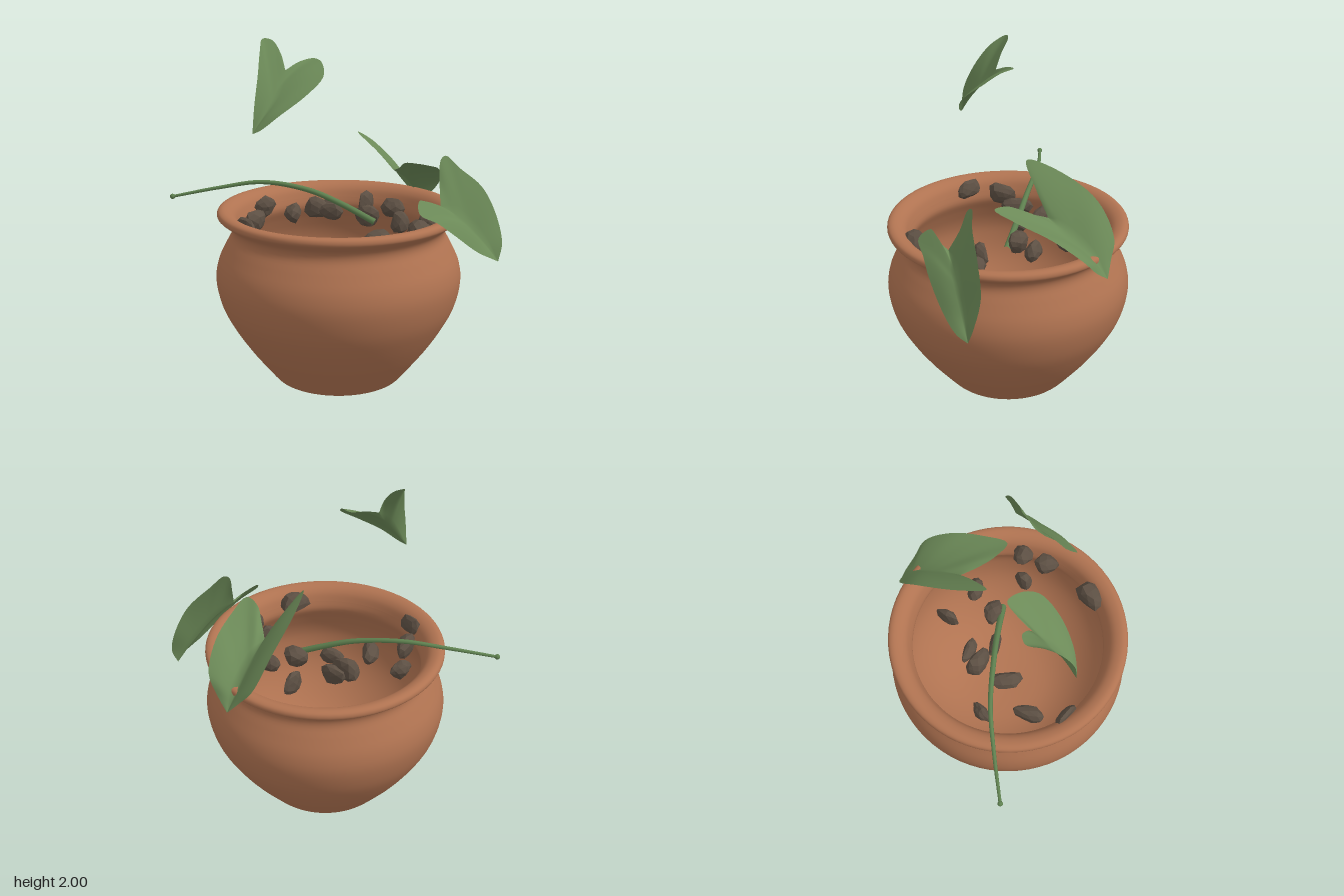
import * as THREE from 'three';

const V = (p) => new THREE.Vector3(...p);
const material = (name, color, side = THREE.FrontSide) => {
  const m = new THREE.MeshStandardMaterial({ color, side });
  m.name = name;
  return m;
};

function addMesh(parent, name, geometry, mat) {
  const mesh = new THREE.Mesh(geometry, mat);
  mesh.name = name;
  parent.add(mesh);
  return mesh;
}

// Leaf: two halves lofted from the midrib to each lobed edge.
function leafGeometry(mid, edges) {
  const rows = 40, cols = 6;
  const midCurve = new THREE.CatmullRomCurve3(mid.map(V));
  const pos = [], index = [];
  const sides = [edges[0], null, edges[1]].map((e) => e &&
    new THREE.CatmullRomCurve3([mid[0], ...e, mid[mid.length - 1]].map(V)));
  const width = cols * 2 + 1;
  for (let i = 0; i <= rows; i++) {
    const t = i / rows;
    const m = midCurve.getPoint(t);
    for (let j = -cols; j <= cols; j++) {
      const k = Math.abs(j) / cols;
      const p = j === 0 ? m.clone() : m.clone().lerp(sides[j < 0 ? 0 : 2].getPoint(t), k);
      p.y += 0.02 * Math.sin(Math.PI * k) * Math.sin(Math.PI * t);
      pos.push(p.x, p.y, p.z);
      if (i < rows && j < cols) {
        const a = i * width + j + cols, b = a + width;
        index.push(a, b, a + 1, a + 1, b, b + 1);
      }
    }
  }
  const g = new THREE.BufferGeometry();
  g.setAttribute('position', new THREE.Float32BufferAttribute(pos, 3));
  g.setIndex(index);
  g.computeVertexNormals();
  return g;
}

// Tube whose rings shrink towards the far end.
function taperedTube(points, r0, r1) {
  const curve = new THREE.CatmullRomCurve3(points.map(V));
  const segs = 48, sides = 8;
  const g = new THREE.TubeGeometry(curve, segs, 1, sides);
  const pos = g.attributes.position, v = new THREE.Vector3();
  for (let i = 0; i < pos.count; i++) {
    const t = Math.floor(i / (sides + 1)) / segs;
    const c = curve.getPointAt(t);
    v.fromBufferAttribute(pos, i).sub(c).multiplyScalar(THREE.MathUtils.lerp(r0, r1, t)).add(c);
    pos.setXYZ(i, v.x, v.y, v.z);
  }
  return g;
}

// Irregular faceted stone, displaced by a repeatable hash of each corner.
function stoneGeometry(seed) {
  const g = new THREE.IcosahedronGeometry(0.5, 1);
  const pos = g.attributes.position, v = new THREE.Vector3();
  for (let i = 0; i < pos.count; i++) {
    v.fromBufferAttribute(pos, i);
    const n = Math.sin(v.x * 9.1 + seed * 2.3) + Math.sin(v.y * 8.3 + seed * 4.1) + Math.sin(v.z * 7.7 + seed);
    v.multiplyScalar(1 + n * 0.09);
    pos.setXYZ(i, v.x, v.y, v.z);
  }
  g.computeVertexNormals();
  return g;
}

export function createModel() {
  const group = new THREE.Group();
  group.name = 'pottedPlant';
  const terracotta = material('terracotta', 0xb07351, THREE.DoubleSide);
  const leafGreen = material('leaf green', 0x6c8a58, THREE.DoubleSide);
  const stemGreen = material('stem green', 0x5f8150);
  const stoneBrown = material('stone brown', 0x5c4f43);

  // Pot: belly, neck, rolled rim and hollow inside
  const pot = new THREE.Group();
  pot.name = 'pot';
  pot.position.set(0.03, 0, 0.028);
  group.add(pot);
  const outer = [[0.375, 0], [0.39, 0.01], [0.455, 0.09], [0.54, 0.2], [0.625, 0.33], [0.69, 0.46],
    [0.72, 0.6], [0.706, 0.71], [0.66, 0.81], [0.625, 0.88], [0.632, 0.93], [0.675, 0.965],
    [0.705, 0.99], [0.7, 1.018], [0.67, 1.028], [0.63, 1.015], [0.6, 0.985], [0.582, 0.94]];
  const inner = [[0.582, 0.94], [0.572, 0.88], [0.61, 0.8], [0.65, 0.7], [0.66, 0.6], [0.63, 0.45],
    [0.55, 0.31], [0.42, 0.18], [0.25, 0.1], [0, 0.07]];
  const lathe = (pts, n) => new THREE.LatheGeometry(
    new THREE.SplineCurve(pts.map((p) => new THREE.Vector2(...p))).getPoints(n), 72);
  addMesh(pot, 'potWall', lathe(outer, 70), terracotta);
  addMesh(pot, 'potInside', lathe(inner, 36), terracotta);
  addMesh(pot, 'potBase', new THREE.CircleGeometry(0.376, 72).rotateX(Math.PI / 2), terracotta);

  // Leaves: midrib from notch to tip, then both edges around the lobes
  addMesh(group, 'backLeaf', leafGeometry(
    [[0.16, 1.19, -0.36], [0.15, 1.12, -0.5], [0.13, 1.01, -0.65], [0.12, 0.92, -0.74]],
    [[[0.12, 1.32, -0.24], [0.06, 1.44, -0.13], [-0.01, 1.4, -0.29], [-0.05, 1.27, -0.54],
      [-0.02, 1.09, -0.68], [0.05, 1.0, -0.71]],
    [[0.25, 1.23, -0.28], [0.33, 1.28, -0.22], [0.43, 1.29, -0.2], [0.42, 1.25, -0.35],
      [0.37, 1.19, -0.54], [0.29, 1.08, -0.69], [0.2, 0.98, -0.72]]]), leafGreen);
  addMesh(group, 'sideLeaf', leafGeometry(
    [[0.66, 1.1, -0.07], [0.73, 1.02, -0.18], [0.8, 0.89, -0.29], [0.87, 0.74, -0.38]],
    [[[0.65, 1.13, 0.02], [0.62, 1.16, 0.09], [0.66, 1.1, 0.15], [0.72, 1.04, 0.06],
      [0.77, 0.97, -0.02], [0.84, 0.84, -0.18], [0.88, 0.77, -0.31]],
    [[0.62, 1.22, -0.12], [0.6, 1.34, -0.16], [0.61, 1.36, -0.2], [0.67, 1.29, -0.25],
      [0.76, 1.17, -0.36], [0.82, 1.0, -0.43], [0.87, 0.84, -0.42]]]), leafGreen);
  addMesh(group, 'topLeaf', leafGeometry(
    [[-0.16, 1.83, 0.27], [-0.15, 1.73, 0.36], [-0.15, 1.62, 0.46], [-0.17, 1.51, 0.55]],
    [[[-0.2, 1.92, 0.26], [-0.26, 1.99, 0.26], [-0.295, 2.0, 0.3], [-0.25, 1.94, 0.38],
      [-0.2, 1.82, 0.46], [-0.17, 1.66, 0.53]],
    [[-0.14, 1.87, 0.17], [-0.1, 1.885, 0.09], [-0.02, 1.87, 0.12], [0.05, 1.8, 0.2],
      [0.03, 1.71, 0.33], [-0.05, 1.61, 0.46], [-0.13, 1.53, 0.53]]]), leafGreen);

  // Arching bare stem
  addMesh(group, 'stem', taperedTube([[0.2, 0.93, -0.1], [0.01, 1.025, -0.03], [-0.18, 1.1, 0.05],
    [-0.43, 1.135, 0.17], [-0.64, 1.1, 0.31], [-0.87, 1.045, 0.48]], 0.02, 0.009), stemGreen);
  const tip = addMesh(group, 'stemTip', new THREE.SphereGeometry(0.016, 10, 8), stemGreen);
  tip.position.set(-0.87, 1.045, 0.48);

  // Stones: x, z, width, depth, turn
  const stones = [[-0.03, -0.35, 0.07, 0.16, 0], [0.2, -0.29, 0.13, 0.1, 0.3], [-0.15, -0.13, 0.16, 0.07, 0.1],
    [-0.19, -0.05, 0.2, 0.1, -0.1], [-0.05, -0.015, 0.14, 0.06, 0.3], [0.13, -0.13, 0.17, 0.1, 0.2],
    [0.4, -0.07, 0.08, 0.13, -0.4], [0.54, -0.15, 0.11, 0.13, 0], [0.56, 0, 0.13, 0.15, 0.4],
    [0.51, 0.33, 0.13, 0.19, -0.4], [-0.21, 0.15, 0.1, 0.17, 0.6], [-0.32, 0.36, 0.1, 0.18, 0.2],
    [-0.23, 0.55, 0.16, 0.07, -0.2], [-0.45, 0.12, 0.07, 0.14, -0.4]];
  const stoneGroup = new THREE.Group();
  stoneGroup.name = 'stones';
  group.add(stoneGroup);
  stones.forEach(([x, z, w, d, turn], i) => {
    const stone = addMesh(stoneGroup, 'stone', stoneGeometry(i + 1), stoneBrown);
    stone.position.set(x, 0.965 + 0.012 * Math.sin(i * 2.1), z);
    stone.scale.set(w, 0.125, d);
    stone.rotation.y = turn;
  });

  return group;
}
